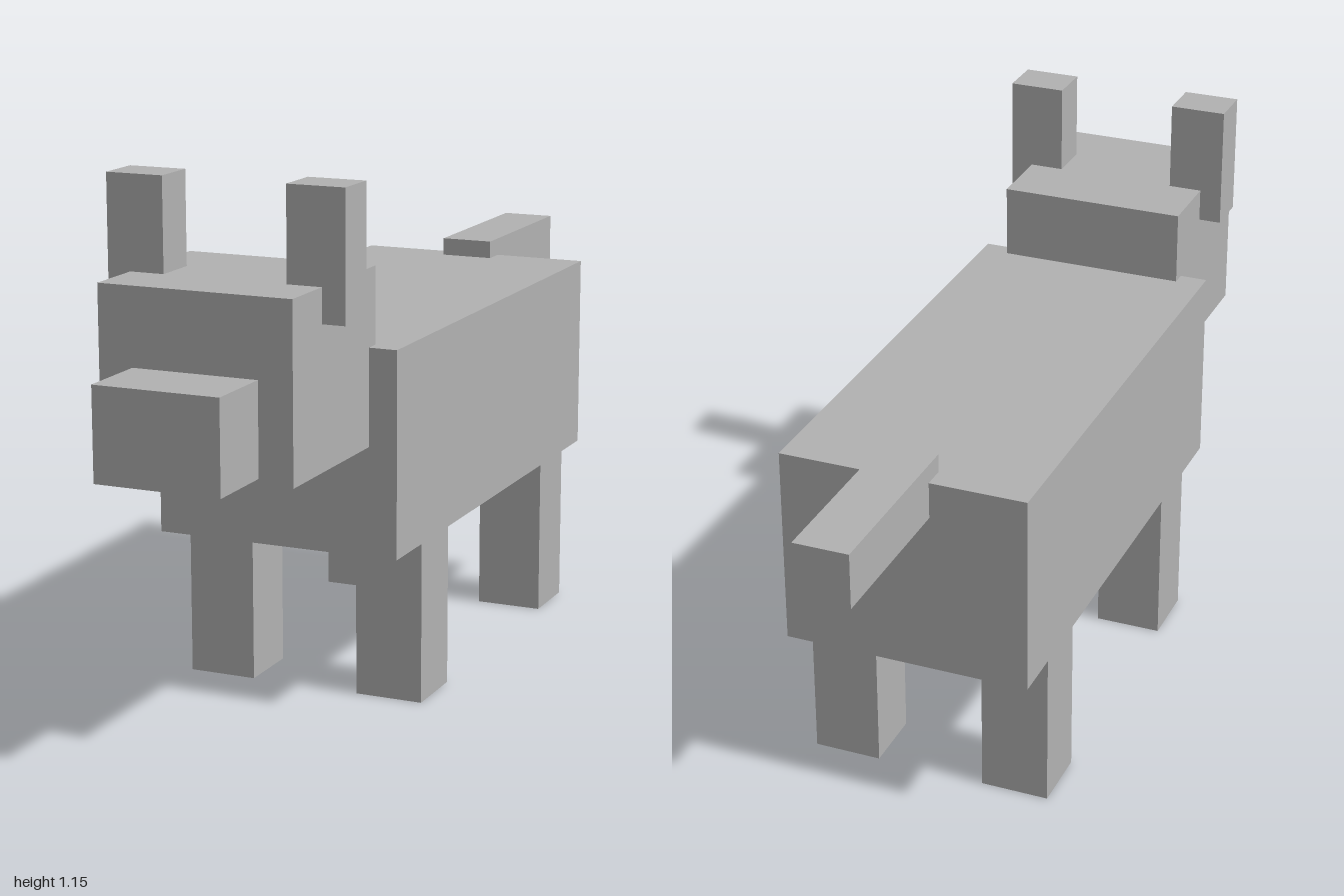
import * as THREE from 'three';

export function createModel() {
  const model = new THREE.Group();
  model.name = 'blockDog';

  const grey = new THREE.MeshStandardMaterial({ color: 0xb2b2b2 });
  grey.name = 'grey';

  // Box given by its [min, max] extent on each axis
  function addBox(name, [x0, x1], [y0, y1], [z0, z1]) {
    const mesh = new THREE.Mesh(new THREE.BoxGeometry(x1 - x0, y1 - y0, z1 - z0), grey);
    mesh.position.set((x0 + x1) / 2, (y0 + y1) / 2, (z0 + z1) / 2);
    mesh.name = name;
    model.add(mesh);
  }

  // The same box on both sides of the body
  function addPair(name, [x0, x1], y, z) {
    addBox('left' + name, [x0, x1], y, z);
    addBox('right' + name, [-x1, -x0], y, z);
  }

  // Trunk and tail
  addBox('body', [-0.272, 0.272], [0.35, 0.79], [-0.63, 0.48]);
  addBox('tail', [-0.06, 0.06], [0.71, 0.83], [-1, -0.58]);

  // Head
  addBox('head', [-0.21, 0.21], [0.583, 0.953], [0.447, 0.838]);
  addBox('snout', [-0.136, 0.136], [0.595, 0.79], [0.838, 1]);
  addPair('Ear', [0.135, 0.26], [0.88, 1.15], [0.606, 0.705]);

  // Legs
  addPair('FrontLeg', [0.122, 0.272], [0, 0.35], [0.2, 0.347]);
  addPair('BackLeg', [0.122, 0.272], [0, 0.35], [-0.515, -0.37]);

  return model;
}
